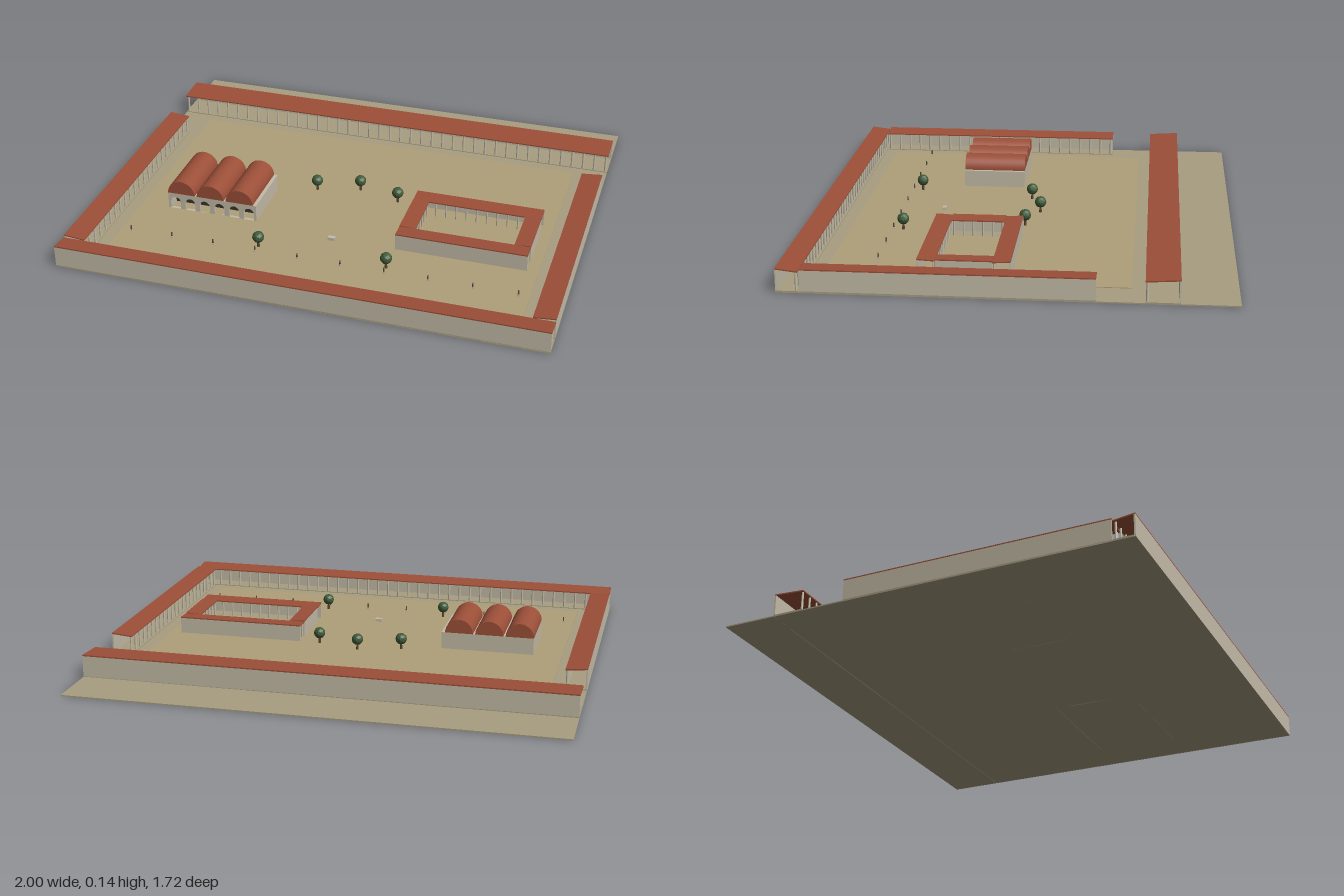
import * as THREE from 'three';
import { mergeGeometries } from 'three/addons/utils/BufferGeometryUtils.js';

const mat = (color, extra = {}) => new THREE.MeshStandardMaterial({ color, ...extra });
const EARTH = mat(0xa89d80), SAND = mat(0xb0a07a), STONE = mat(0xc4bca8), ROOF = mat(0x9c4f38);
const DARK = mat(0x3a342c), LEAF = mat(0x3f5a38, { flatShading: true }), WOOD = mat(0x5c4530);
const BRONZE = mat(0x5a5040);

function add(parent, name, geometry, material, x = 0, y = 0, z = 0) {
  const mesh = new THREE.Mesh(geometry, material);
  mesh.name = name;
  mesh.position.set(x, y, z);
  parent.add(mesh);
  return mesh;
}
const box = (w, h, d) => new THREE.BoxGeometry(w, h, d);

// Open-ended colonnade: wall along local z = 0, columns along z = depth, roof falling towards the columns
function colonnade(name, length, depth, height, drop, spacing, radius) {
  const g = new THREE.Group();
  g.name = name;
  const base = 0.005, roofT = 0.005, wallT = 0.006;
  add(g, 'floor', box(length, 0.003, depth), EARTH, 0, base + 0.0015, depth / 2);
  add(g, 'backWall', box(length, height - roofT, wallT), STONE, 0, (height - roofT) / 2, wallT / 2);

  const roof = box(length, roofT, depth);
  const p = roof.attributes.position;
  for (let i = 0; i < p.count; i++) p.setY(i, p.getY(i) - drop * (p.getZ(i) / depth + 0.5));
  roof.computeVertexNormals();
  add(g, 'roof', roof, ROOF, 0, height - roofT / 2, depth / 2);

  const colH = height - drop - roofT - base;
  const n = Math.round(length / spacing);
  const shafts = [];
  for (let i = 0; i <= n; i++) {
    const x = (i / n - 0.5) * (length - 0.02);
    shafts.push(new THREE.CylinderGeometry(radius * 0.85, radius, colH, 8)
      .translate(x, base + colH / 2, depth - radius * 1.5));
  }
  add(g, 'columns', mergeGeometries(shafts), STONE);
  return g;
}

function place(parent, group, x, z, turn) {
  group.position.set(x, 0, z);
  group.rotation.y = turn;
  parent.add(group);
}

// Hall with an arcaded front and three barrel vaults
function vaultedHall() {
  const g = new THREE.Group();
  g.name = 'vaultedHall';
  const w = 0.395, d = 0.27, h = 0.08, t = 0.012, arches = 6;
  const front = new THREE.Shape([[-w / 2, 0], [w / 2, 0], [w / 2, h], [-w / 2, h]]
    .map(([x, y]) => new THREE.Vector2(x, y)));
  for (let i = 0; i < arches; i++) {
    const x = (i - (arches - 1) / 2) * (w / arches), r = 0.022;
    const hole = new THREE.Path();
    hole.moveTo(x - r, 0.008);
    hole.lineTo(x + r, 0.008);
    hole.lineTo(x + r, 0.04);
    hole.absarc(x, 0.04, r, 0, Math.PI, false);
    hole.closePath();
    front.holes.push(hole);
  }
  add(g, 'arcade', new THREE.ExtrudeGeometry(front, { depth: t, bevelEnabled: false, curveSegments: 8 }),
    STONE, 0, 0, d / 2 - t);
  add(g, 'rearWall', box(w, h, t), STONE, 0, h / 2, -d / 2 + t / 2);
  for (const s of [-1, 1]) add(g, 'sideWall', box(t, h, d - t), STONE, s * (w - t) / 2, h / 2, 0);
  add(g, 'ceiling', box(w - 0.004, 0.006, d - 0.004), STONE, 0, h - 0.003, 0);
  add(g, 'innerWall', box(w - 2 * t, h - 0.01, 0.01), DARK, 0, h / 2, d / 2 - 0.06);
  for (let i = 0; i < 3; i++) {
    const vault = new THREE.CylinderGeometry(0.06, 0.06, d, 24, 1, false, Math.PI / 2, Math.PI);
    vault.rotateX(Math.PI / 2);
    add(g, 'vault', vault, ROOF, -0.1375 + i * 0.13, h, 0);
  }
  return g;
}

function tree() {
  const g = new THREE.Group();
  g.name = 'tree';
  add(g, 'trunk', new THREE.CylinderGeometry(0.004, 0.006, 0.035, 6), WOOD, 0, 0.024, 0);
  add(g, 'canopy', new THREE.IcosahedronGeometry(0.025, 1), LEAF, 0, 0.054, 0);
  return g;
}

export function createModel() {
  const model = new THREE.Group();
  model.name = 'marketSquare';

  add(model, 'ground', box(2, 0.005, 1.72), EARTH, 0, 0.0025, 0);
  add(model, 'courtyard', box(1.72, 0.003, 1.18), SAND, 0, 0.0065, 0.13);

  // Colonnades around the square
  place(model, colonnade('rearColonnade', 2, 0.13, 0.098, 0.008, 0.05, 0.005), 0, -0.64, 0);
  place(model, colonnade('frontColonnade', 2, 0.085, 0.096, 0.01, 0.05, 0.005), 0, 0.86, Math.PI);
  for (const s of [-1, 1])
    place(model, colonnade('sideColonnade', 1.1, 0.088, 0.095, 0.008, 0.05, 0.005), s, 0.22, -s * Math.PI / 2);

  // Courtyard building made of four inward-facing wings
  const court = new THREE.Group();
  court.name = 'courtyardBuilding';
  court.position.set(0.54, 0, 0.18);
  for (const s of [-1, 1]) {
    place(court, colonnade('longWing', 0.545, 0.07, 0.08, 0.004, 0.045, 0.004), 0, s * 0.18, s > 0 ? Math.PI : 0);
    place(court, colonnade('shortWing', 0.22, 0.068, 0.08, 0.004, 0.045, 0.004), s * 0.2725, 0, -s * Math.PI / 2);
  }
  model.add(court);

  place(model, vaultedHall(), -0.5425, 0.185, 0);

  for (const [x, z] of [[-0.18, 0], [0, -0.05], [0.18, 0], [-0.27, 0.5], [0.27, 0.5]])
    place(model, tree(), x, z, 0);

  // Altar and a row of small statues
  add(model, 'altar', box(0.03, 0.014, 0.018), STONE, 0, 0.014, 0.365);
  for (let i = 0; i < 10; i++) {
    const x = -0.815 + i * 0.1811;
    add(model, 'statuePlinth', box(0.008, 0.008, 0.008), STONE, x, 0.012, 0.54);
    add(model, 'statue', new THREE.CylinderGeometry(0.0025, 0.0035, 0.018, 6), BRONZE, x, 0.025, 0.54);
  }
  return model;
}
